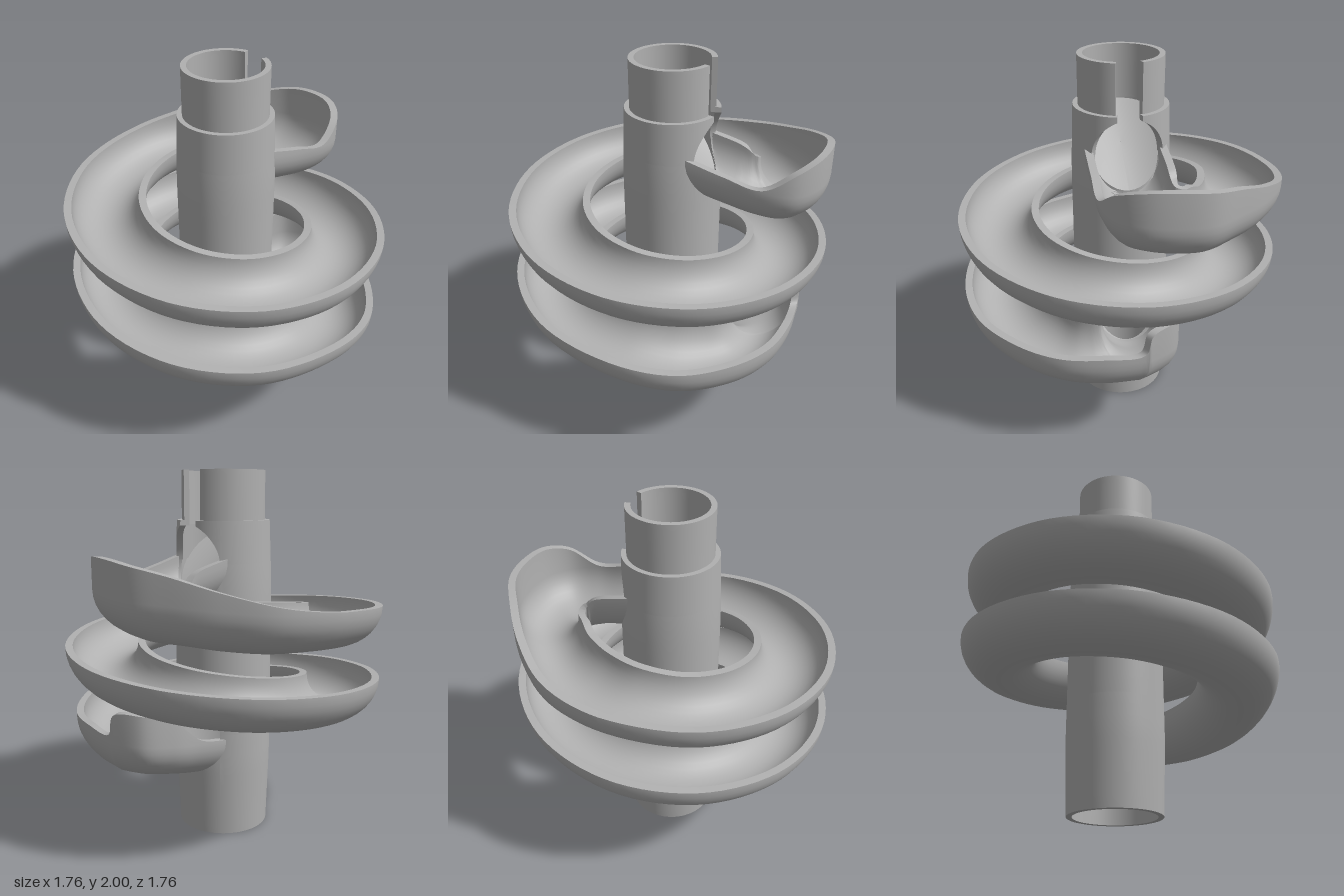
import * as THREE from 'three';
import { toCreasedNormals } from 'three/addons/utils/BufferGeometryUtils.js';

const CX = 0.012, CZ = -0.017;          // tube axis
const TOP = 1.74;                       // shoulder height
const PORT = { upper: 1.52, lower: 0.59, ry: 0.205, rz: 0.19 };

// Skin equal closed rings; ring point i sits opposite point n-1-i, which also gives the end caps.
function loft(rings) {
  const n = rings[0].length, last = (rings.length - 1) * n, pos = [], idx = [];
  rings.forEach(r => r.forEach(p => pos.push(p.x, p.y, p.z)));
  for (let k = 0; k < rings.length - 1; k++) {
    for (let i = 0; i < n; i++) {
      const a = k * n + i, c = k * n + (i + 1) % n;
      idx.push(a, a + n, c, a + n, c + n, c);
    }
  }
  for (let i = 0; i < n / 2 - 1; i++) {
    const a = i, b = i + 1, c = n - 2 - i, d = n - 1 - i;
    idx.push(a, b, d, b, c, d);
    idx.push(last + a, last + d, last + b, last + b, last + d, last + c);
  }
  const g = new THREE.BufferGeometry();
  g.setAttribute('position', new THREE.Float32BufferAttribute(pos, 3));
  g.setIndex(idx);
  return toCreasedNormals(g, 0.6);
}

// Tube columns, gathered around the ports; start > 0 leaves a slot on the +x side.
function columns(start) {
  const half = [], edge = Math.asin(PORT.rz / 0.265);
  for (let i = 0; i <= 18; i++) half.push(Math.asin(PORT.rz / 0.265 * Math.sin(i / 18 * Math.PI / 2)));
  for (let i = 1; i <= 28; i++) half.push(edge + (Math.PI - edge) * i / 28);
  const list = [start, ...half.filter(a => a > start + 0.01)];
  return [...list, ...list.slice(0, -1).reverse().map(a => 2 * Math.PI - a)];
}

// Half height of a port at a column angle
function portHalf(a) {
  const s = 0.265 * Math.sin(a) / PORT.rz;
  return Math.cos(a) > 0 && Math.abs(s) < 1 ? PORT.ry * Math.sqrt(1 - s * s) : 0;
}

// Wall of a round tube between two height rules
function wall(bottom, top, radius, thickness, start = 0) {
  const rows = 10;
  return loft(columns(start).map(a => {
    const ring = [];
    const add = (i, inset) => {
      const y = THREE.MathUtils.lerp(bottom(a), top(a), i / rows), r = radius(y) - inset;
      ring.push(new THREE.Vector3(CX + r * Math.cos(a), y, CZ - r * Math.sin(a)));
    };
    for (let i = 0; i <= rows; i++) add(i, 0);
    for (let i = rows; i >= 0; i--) add(i, thickness);
    return ring;
  }));
}

// Gutter stations: inner x, z, rim y; outer x, z, rim y; height of the gutter's centre
const entry = [
  [0.15, -0.23, 1.55, 0.15, 0.20, 1.55, 1.52],
  [0.36, -0.23, 1.49, 0.36, 0.20, 1.49, 1.47],
  [0.39, -0.23, 1.46, 0.56, 0.20, 1.45, 1.44],
  [0.40, -0.23, 1.44, 0.72, 0.15, 1.54, 1.42],
  [0.41, -0.23, 1.43, 0.81, 0.03, 1.58, 1.42],
  [0.41, -0.24, 1.42, 0.84, -0.15, 1.58, 1.41],
  [0.40, -0.26, 1.41, 0.82, -0.30, 1.56, 1.40],
  [0.36, -0.29, 1.40, 0.72, -0.46, 1.52, 1.39],
  [0.30, -0.34, 1.37, 0.56, -0.65, 1.45, 1.37],
  [0.18, -0.40, 1.35, 0.33, -0.82, 1.38, 1.35],
];
const exit = [
  [0.18, 0.40, 0.71, 0.33, 0.82, 0.70, 0.69],
  [0.29, 0.33, 0.69, 0.58, 0.63, 0.68, 0.66],
  [0.36, 0.27, 0.68, 0.72, 0.42, 0.67, 0.65],
  [0.39, 0.22, 0.67, 0.77, 0.20, 0.67, 0.64],
  [0.40, 0.20, 0.66, 0.77, 0.00, 0.67, 0.635],
  [0.40, 0.195, 0.66, 0.765, -0.04, 0.78, 0.635],
  [0.39, 0.19, 0.65, 0.68, -0.18, 0.79, 0.63],
  [0.37, 0.19, 0.62, 0.52, -0.23, 0.74, 0.61],
  [0.33, 0.19, 0.59, 0.34, -0.23, 0.60, 0.58],
  [0.15, 0.19, 0.56, 0.15, -0.23, 0.56, 0.55],
];

function gutterGeometry() {
  // One and a half turns between the two elbows
  const coil = [];
  for (let i = 0; i <= 18; i++) {
    const a = i * Math.PI / 6, y = 1.335 - 0.4 * i / 12;
    const s = -Math.sin(a), c = -Math.cos(a);
    coil.push([0.44 * s, 0.44 * c, y, 0.88 * s, 0.88 * c, y, y]);
  }
  const stations = [...entry, ...coil, ...exit];
  const inner = new THREE.CatmullRomCurve3(stations.map(s => new THREE.Vector3(s[0], s[2], s[1])));
  const outer = new THREE.CatmullRomCurve3(stations.map(s => new THREE.Vector3(s[3], s[5], s[4])));
  const centre = new THREE.CatmullRomCurve3(stations.map(s => new THREE.Vector3(0, s[6], 0)), false, 'catmullrom');
  const steps = (stations.length - 1) * 7, arc = 18, rings = [];

  for (let k = 0; k <= steps; k++) {
    const I = inner.getPoint(k / steps), O = outer.getPoint(k / steps), cy = centre.getPoint(k / steps).y;
    const mx = (I.x + O.x) / 2, mz = (I.z + O.z) / 2;
    const half = Math.hypot(O.x - I.x, O.z - I.z) / 2;
    const dx = (O.x - I.x) / 2 / half, dz = (O.z - I.z) / 2 / half;
    const ring = [];
    const add = (u, y) => {
      const p = new THREE.Vector3(mx + dx * u, y, mz + dz * u);
      // Trim the chutes to the tube wall
      const d = 0.238 ** 2 - (p.z - CZ) ** 2;
      if (p.x > 0 && d > 0) p.x = Math.max(p.x, CX + Math.sqrt(d));
      ring.push(p);
    };
    const trough = inset => {
      const line = [[-half + inset, Math.max(I.y, cy)]];
      for (let i = 0; i <= arc; i++) {
        const t = Math.PI * i / arc;
        line.push([-(half - inset) * Math.cos(t), cy - 0.005 - (0.215 - inset) * Math.sin(t)]);
      }
      line.push([half - inset, Math.max(O.y, cy)]);
      return line;
    };
    trough(0).forEach(p => add(...p));
    trough(0.04).reverse().forEach(p => add(...p));
    rings.push(ring);
  }
  return loft(rings);
}

// Sloping dished floor that turns a dropped ball out of the upper port
function rampGeometry() {
  const g = new THREE.RingGeometry(0.001, 0.232, 48, 8).rotateX(-Math.PI / 2);
  const p = g.attributes.position;
  for (let i = 0; i < p.count; i++) {
    const x = p.getX(i), z = p.getZ(i);
    p.setXYZ(i, x + CX, 1.52 - 0.8 * x + 1.5 * z * z, z + CZ);
  }
  g.computeVertexNormals();
  return g;
}

export function createModel() {
  const grey = new THREE.MeshStandardMaterial({ color: 0xb0b0b0, side: THREE.DoubleSide });
  grey.name = 'grey plastic';
  const model = new THREE.Group();
  model.name = 'spiralMarbleRun';
  const add = (name, geometry) => {
    const mesh = new THREE.Mesh(geometry, grey);
    mesh.name = name;
    model.add(mesh);
  };

  // Tube in three lengths that meet around the two ports
  const bodyRadius = y => 0.253 + 0.014 * Math.min(1, y / 0.4, (TOP - y) / 0.35);
  const slot = 0.26;
  add('lowerTube', wall(() => 0, a => PORT.lower - portHalf(a), bodyRadius, 0.03));
  add('middleTube', wall(a => PORT.lower + portHalf(a), a => PORT.upper - portHalf(a), bodyRadius, 0.03));
  add('upperTube', wall(a => PORT.upper + portHalf(a), () => TOP, bodyRadius, 0.035, slot));
  add('slottedCollar', wall(() => TOP - 0.03, () => 2, () => 0.226, 0.03, slot * 1.18));

  add('innerRamp', rampGeometry());
  add('spiralGutter', gutterGeometry());
  return model;
}
